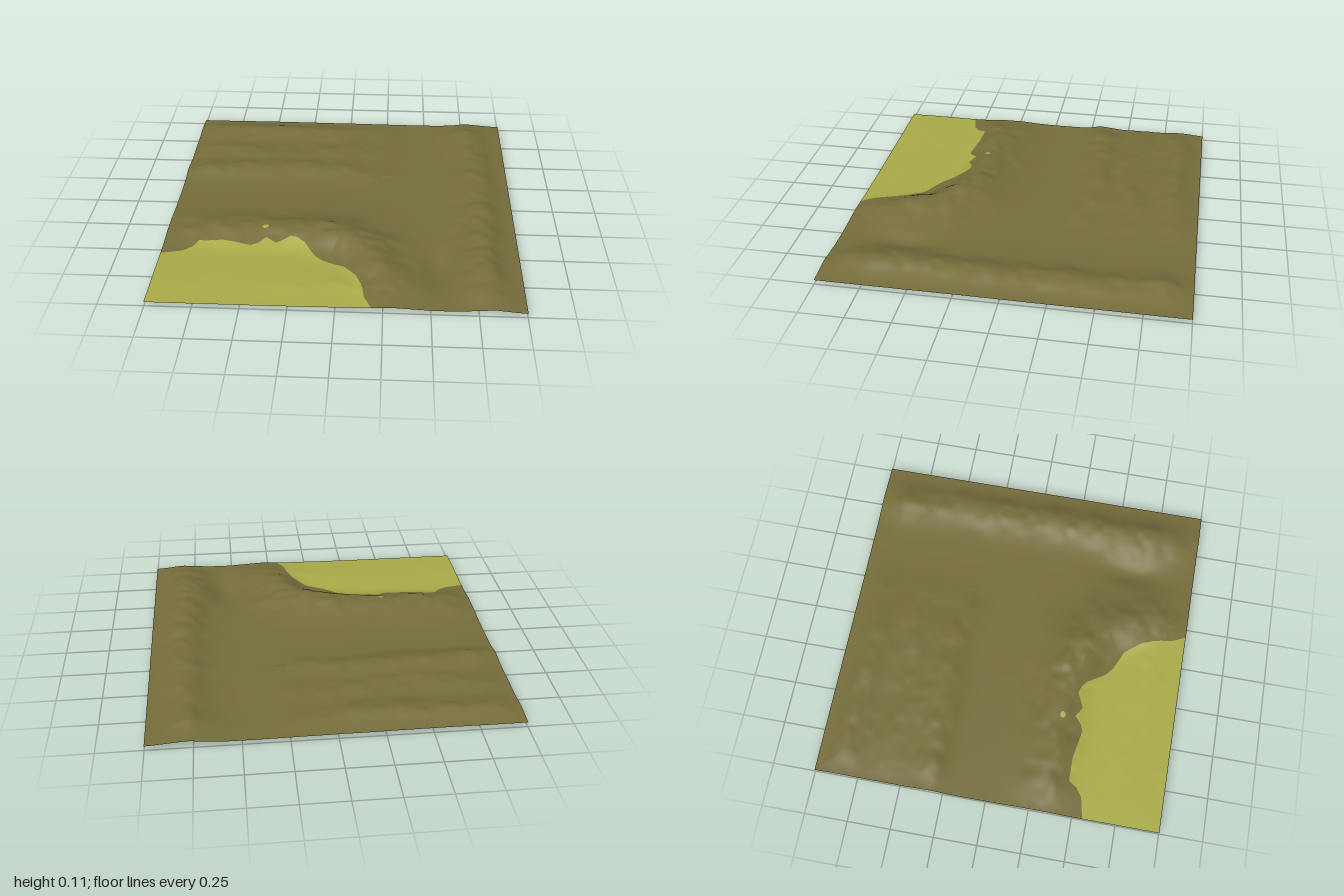
import * as THREE from 'three';

const earth = new THREE.MeshStandardMaterial({ name: 'dry earth', color: 0x756d3b, side: THREE.DoubleSide });
const grass = new THREE.MeshStandardMaterial({ name: 'meadow grass', color: 0xa9ab48, side: THREE.DoubleSide });

// Ridge lines as [x, z, height]; widths are for the outer and inner side of the line
const ridges = [
  { outer: 0.18, inner: 0.11, line: [[-1, 0.33, 0.03], [-0.7, 0.35, 0.05], [-0.3, 0.35, 0.062], [0.02, 0.4, 0.086],
    [0.15, 0.52, 0.076], [0.25, 0.75, 0.045], [0.29, 1, 0.025]] },                                          // front ridge
  { outer: 0.13, inner: 0.12, line: [[0.81, 1, 0.035], [0.8, 0.6, 0.064], [0.82, 0.2, 0.052], [0.8, -0.2, 0.05],
    [0.82, -0.5, 0.04], [0.78, -0.85, 0.045], [0.8, -1, 0.03]] },                                           // right ridge
  { outer: 0.12, inner: 0.09, line: [[-1, -0.33, 0.035], [-0.6, -0.34, 0.04], [-0.1, -0.36, 0.036], [0.12, -0.33, 0.018]] },
  { outer: 0.11, inner: 0.11, line: [[-1, -0.62, 0.02], [-0.5, -0.57, 0.028], [0, -0.6, 0.026], [0.17, -0.6, 0.014]] },
  { outer: 0.12, inner: 0.12, line: [[-1, -0.85, 0.032], [-0.6, -0.86, 0.038], [-0.1, -0.84, 0.034], [0.15, -0.86, 0.016]] },
  { outer: 0.14, inner: 0.2, line: [[-1, 0.8, 0.006], [-0.4, 0.76, 0.009], [0.05, 0.85, 0.014]] },          // meadow swell
];

// Meadow border as [x, z]; the grass lies in front of it
const border = [[-1, 0.56], [-0.88, 0.535], [-0.83, 0.5], [-0.8, 0.45], [-0.66, 0.45], [-0.5, 0.48], [-0.46, 0.465],
  [-0.42, 0.425], [-0.36, 0.46], [-0.28, 0.42], [-0.24, 0.43], [-0.2, 0.46], [-0.13, 0.56], [-0.08, 0.6],
  [0.03, 0.65], [0.1, 0.74], [0.135, 0.83], [0.15, 0.92], [0.19, 1]];

const mix = THREE.MathUtils.lerp;
const smooth = THREE.MathUtils.smoothstep;

function ridgeHeight({ line, outer, inner }, x, z) {
  let best = 0;
  for (let i = 0; i + 1 < line.length; i++) {
    const [ax, az, ah] = line[i], [bx, bz, bh] = line[i + 1];
    const dx = bx - ax, dz = bz - az;
    const t = THREE.MathUtils.clamp(((x - ax) * dx + (z - az) * dz) / (dx * dx + dz * dz), 0, 1);
    const ox = x - ax - t * dx, oz = z - az - t * dz;
    const width = dx * oz - dz * ox > 0 ? inner : outer;
    best = Math.max(best, mix(ah, bh, t) * Math.exp(-(ox * ox + oz * oz) / (width * width)));
  }
  return best;
}

// Smooth seeded value noise, -1 to 1
function hash(i, j) {
  const s = Math.sin(i * 127.1 + j * 311.7) * 43758.5453;
  return (s - Math.floor(s)) * 2 - 1;
}
function noise(x, z) {
  const i = Math.floor(x), j = Math.floor(z);
  const u = smooth(x - i, 0, 1), v = smooth(z - j, 0, 1);
  return mix(mix(hash(i, j), hash(i + 1, j), u), mix(hash(i, j + 1), hash(i + 1, j + 1), u), v);
}

// Valley floor, hills roughened by noise, low outer rim and a small hollow
function height(x, z) {
  let hill = 0;
  for (const ridge of ridges) hill += ridgeHeight(ridge, x, z);
  const rough = 0.2 * noise(x * 8 + 3, z * 10) + 0.1 * noise(x * 17, z * 19 + 5);
  const rim = 0.45 + 0.55 * smooth(1 - Math.max(Math.abs(x), Math.abs(z)), 0, 0.16);
  const hollow = 0.028 * Math.exp(-(((x - 0.55) / 0.08) ** 2) - ((z - 0.63) / 0.17) ** 2);
  return Math.max(0, 0.028 + hill * (1 + rough) * rim - hollow);
}

function borderZ(x) {
  for (let i = 0; i + 1 < border.length; i++) {
    const [ax, az] = border[i], [bx, bz] = border[i + 1];
    if (x <= bx) return mix(az, bz, (x - ax) / (bx - ax));
  }
  return 1;
}

// Sheet draped on the terrain; place(u, v) gives its [x, z]
function drape(name, material, cols, rows, place, lift = 0) {
  const positions = [], normals = [], index = [], e = 0.006;
  const normal = new THREE.Vector3();
  for (let j = 0; j <= rows; j++) {
    for (let i = 0; i <= cols; i++) {
      const [x, z] = place(i / cols, j / rows);
      positions.push(x, height(x, z) + lift, z);
      normal.set(height(x - e, z) - height(x + e, z), 2 * e, height(x, z - e) - height(x, z + e)).normalize();
      normals.push(normal.x, normal.y, normal.z);
      if (i < cols && j < rows) {
        const a = j * (cols + 1) + i, b = a + cols + 1;
        index.push(a, b, a + 1, a + 1, b, b + 1);
      }
    }
  }
  const geometry = new THREE.BufferGeometry();
  geometry.setAttribute('position', new THREE.Float32BufferAttribute(positions, 3));
  geometry.setAttribute('normal', new THREE.Float32BufferAttribute(normals, 3));
  geometry.setIndex(index);
  const mesh = new THREE.Mesh(geometry, material);
  mesh.name = name;
  return mesh;
}

export function createModel() {
  const group = new THREE.Group();
  group.name = 'terrain';

  // Bare ground behind and beside the meadow, in two sheets meeting at the border's end
  const edge = 0.19;
  group.add(drape('hillGround', earth, 119, 110, (u, v) => {
    const x = mix(-1, edge, u);
    return [x, mix(-1, borderZ(x), v)];
  }));
  group.add(drape('valleyGround', earth, 81, 110, (u, v) => [mix(edge, 1, u), mix(-1, 1, v)]));

  // Meadow in front of the border
  group.add(drape('meadow', grass, 119, 40, (u, v) => {
    const x = mix(-1, edge, u);
    return [x, mix(borderZ(x), 1, v)];
  }));

  // Small tuft of grass on the ridge
  group.add(drape('grassPatch', grass, 16, 2, (u, v) => {
    const a = -u * Math.PI * 2;
    return [-0.43 + 0.019 * v * Math.cos(a), 0.352 + 0.016 * v * Math.sin(a)];
  }, 0.002));

  return group;
}
